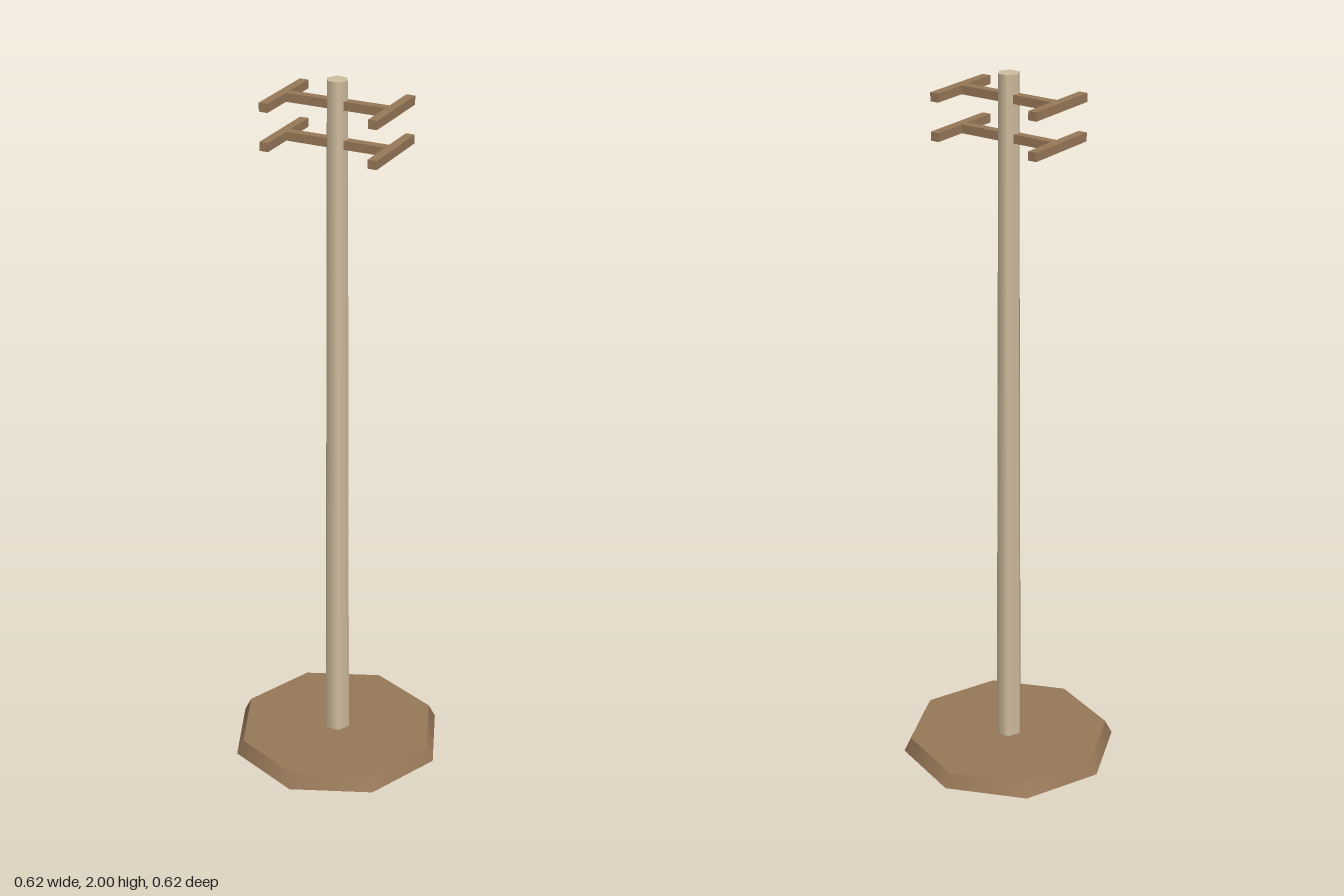
import * as THREE from 'three';

const WOOD = new THREE.MeshStandardMaterial({ color: 0x977858 });
const POLE = new THREE.MeshStandardMaterial({ color: 0xd0be9f });

function addMesh(group, name, geometry, material, y) {
  const mesh = new THREE.Mesh(geometry, material);
  mesh.name = name;
  mesh.position.y = y;
  group.add(mesh);
  return mesh;
}

// H-shaped outline: one arm along x with a bar across each end
function crossArmShape() {
  const outer = 0.167, inner = 0.142, half = 0.115, arm = 0.0125;
  const quarter = [[outer, half], [inner, half], [inner, arm]];
  const right = [...quarter, ...quarter.map(([x, z]) => [x, -z]).reverse()];
  const left = right.map(([x, z]) => [-x, -z]);
  // walk the +x end from its lower inner corner, then the -x end
  const walk = (p) => [p[3], p[4], p[5], p[0], p[1], p[2]];
  return new THREE.Shape([...walk(right), ...walk(left)].map(([x, z]) => new THREE.Vector2(x, z)));
}

export function createModel() {
  const group = new THREE.Group();
  group.name = 'utilityPole';

  // eight-sided mound with sloping rim
  addMesh(group, 'base', new THREE.CylinderGeometry(0.288, 0.308, 0.04, 8), WOOD, 0.02);

  // six-sided tapering pole, corners on the x axis
  const pole = new THREE.CylinderGeometry(0.03, 0.038, 1.98, 6).rotateY(Math.PI / 2);
  addMesh(group, 'pole', pole, POLE, 1.01);

  // two stacked H-shaped cross arms
  const thickness = 0.024;
  const arm = new THREE.ExtrudeGeometry(crossArmShape(), { depth: thickness, bevelEnabled: false });
  arm.translate(0, 0, -thickness / 2).rotateX(-Math.PI / 2);
  [['lowerCrossArm', 1.83], ['upperCrossArm', 1.935]].forEach(([name, y]) => addMesh(group, name, arm, WOOD, y));

  return group;
}
